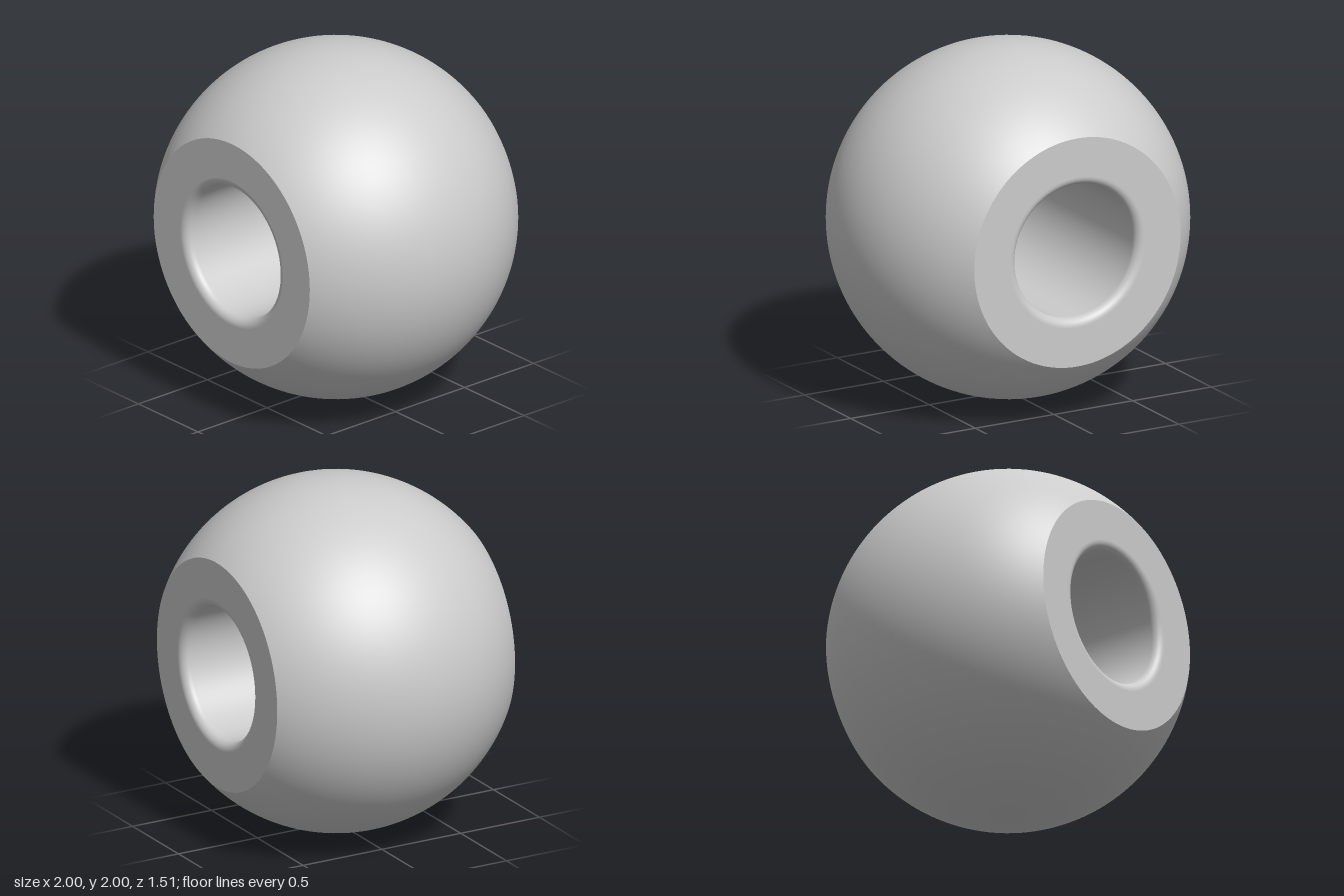
import * as THREE from 'three';

const RADIUS = 1;       // sphere
const HALF = 0.755;     // half depth between the flat ends
const BORE = 0.38;      // hole radius
const FILLET = 0.05;    // rounded rim of the hole
const SEGMENTS = 128;

const material = new THREE.MeshStandardMaterial({ color: 0xcccccc });

// Arc in the (radius, axis) half plane
function arc(cx, cy, r, from, to, steps) {
  return Array.from({ length: steps + 1 }, (_, i) => {
    const a = from + (to - from) * i / steps;
    return new THREE.Vector2(cx + r * Math.cos(a), cy + r * Math.sin(a));
  });
}

// Surface of revolution with its axis along z
function turned(name, points) {
  const geometry = new THREE.LatheGeometry(points, SEGMENTS);
  geometry.rotateX(Math.PI / 2);
  const mesh = new THREE.Mesh(geometry, material);
  mesh.name = name;
  return mesh;
}

export function createModel() {
  const bead = new THREE.Group();
  bead.name = 'bead';
  bead.position.y = RADIUS;

  // Spherical outside, cut off by the two flat ends
  const cut = Math.asin(HALF / RADIUS);
  const cutRadius = RADIUS * Math.cos(cut);
  bead.add(turned('sphericalBody', arc(0, 0, RADIUS, -cut, cut, 64)));

  // Flat rings around the hole
  const outer = cutRadius, inner = BORE + FILLET;
  bead.add(turned('frontFace', [new THREE.Vector2(outer, HALF), new THREE.Vector2(inner, HALF)]));
  bead.add(turned('backFace', [new THREE.Vector2(inner, -HALF), new THREE.Vector2(outer, -HALF)]));

  // Through hole with a rounded rim at each end
  bead.add(turned('bore', [
    ...arc(inner, HALF - FILLET, FILLET, Math.PI / 2, Math.PI, 12),
    ...arc(inner, FILLET - HALF, FILLET, Math.PI, Math.PI * 1.5, 12),
  ]));

  const model = new THREE.Group();
  model.name = 'roundBead';
  model.add(bead);
  return model;
}
